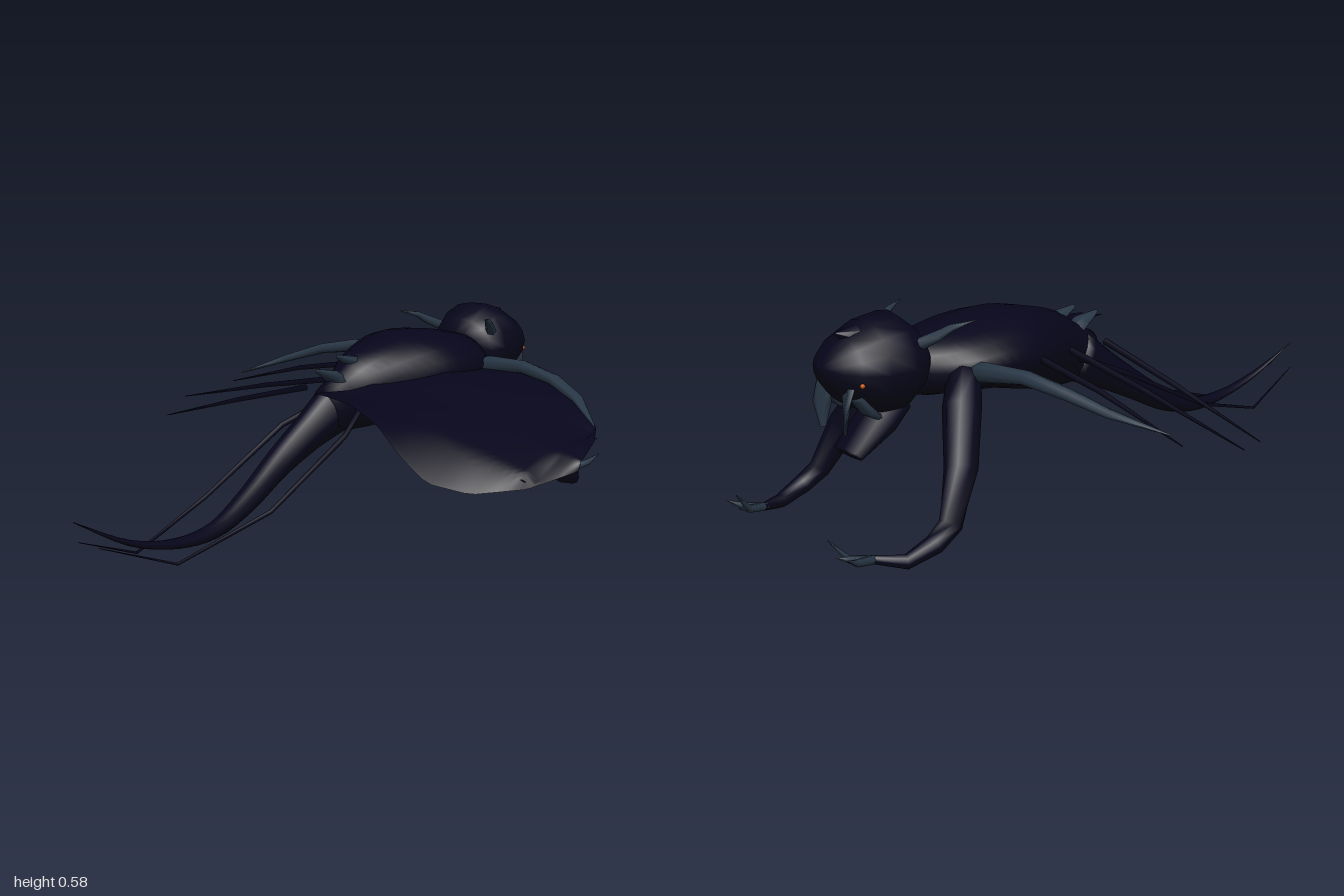
import * as THREE from 'three';

const V = (x, y, z) => new THREE.Vector3(x, y, z);

// Skin through elliptical rings [x, y, z, radiusSide, radiusUp] that follow a path
function loft(rings, sides) {
  const c = rings.map(r => V(r[0], r[1], r[2]));
  const pos = [], idx = [];
  rings.forEach((r, i) => {
    const t = c[Math.min(i + 1, c.length - 1)].clone().sub(c[Math.max(i - 1, 0)]).normalize();
    const side = t.clone().cross(V(0, 1, 0)).normalize();
    const up = side.clone().cross(t);
    for (let k = 0; k < sides; k++) {
      const a = k / sides * Math.PI * 2;
      const p = c[i].clone().addScaledVector(side, Math.cos(a) * r[3])
        .addScaledVector(up, Math.sin(a) * (r[4] ?? r[3]));
      pos.push(p.x, p.y, p.z);
    }
  });
  for (let i = 0; i < rings.length - 1; i++) {
    for (let k = 0; k < sides; k++) {
      const a = i * sides + k, b = i * sides + (k + 1) % sides;
      idx.push(a, a + sides, b, b, a + sides, b + sides);
    }
  }
  // End caps
  const first = pos.length / 3, lastRing = (rings.length - 1) * sides;
  pos.push(...c[0].toArray(), ...c[c.length - 1].toArray());
  for (let k = 0; k < sides; k++) {
    const n = (k + 1) % sides;
    idx.push(first, k, n, first + 1, lastRing + n, lastRing + k);
  }
  const g = new THREE.BufferGeometry();
  g.setAttribute('position', new THREE.Float32BufferAttribute(pos, 3));
  g.setIndex(idx);
  g.computeVertexNormals();
  return g;
}

// Smoothly resample rings for rounded parts
function refine(rings, n) {
  const a = new THREE.CatmullRomCurve3(rings.map(r => V(r[0], r[1], r[2])));
  const b = new THREE.CatmullRomCurve3(rings.map(r => V(r[3], r[4], 0)));
  return Array.from({ length: n + 1 }, (_, i) => {
    const p = a.getPoint(i / n), q = b.getPoint(i / n);
    return [p.x, p.y, p.z, Math.max(q.x, 0.001), Math.max(q.y, 0.001)];
  });
}

// Piecewise linear lookup in rows [key, value, ...]
function lookup(rows, x, col) {
  if (x <= rows[0][0]) return rows[0][col];
  for (let i = 1; i < rows.length; i++) {
    const p = rows[i - 1], q = rows[i];
    if (x <= q[0]) return THREE.MathUtils.lerp(p[col], q[col], (x - p[0]) / (q[0] - p[0]));
  }
  return rows[rows.length - 1][col];
}

// Wing fingers: z, then points [x, y]
const fingers = [
  [-0.27, [[0.16, 0.42], [0.40, 0.378], [0.70, 0.30]]],
  [-0.10, [[0.10, 0.40], [0.395, 0.345], [0.755, 0.265]]],
  [0.05, [[0.09, 0.395], [0.36, 0.326], [0.68, 0.235]]],
];

// Wing skin outline: [x, leading z, leading y, trailing z, trailing y]
const outline = [
  [0.08, -0.42, 0.41, 0.2, 0.42], [0.2, -0.475, 0.415, 0.2, 0.405], [0.3, -0.47, 0.42, 0.2, 0.36],
  [0.38, -0.455, 0.415, 0.2, 0.285], [0.47, -0.43, 0.395, 0.2, 0.225], [0.57, -0.385, 0.37, 0.14, 0.2],
  [0.685, -0.29, 0.33, 0.045, 0.215], [0.735, -0.2, 0.31, -0.04, 0.24], [0.755, -0.12, 0.285, -0.09, 0.25],
];

// Membrane draped over the fingers
function wingSkinGeometry() {
  const g = new THREE.PlaneGeometry(1, 1, 32, 32);
  const p = g.attributes.position;
  for (let i = 0; i < p.count; i++) {
    const x = 0.08 + 0.675 * Math.sin((p.getX(i) + 0.5) * Math.PI / 2);
    const [z0, y0, z1, y1] = [1, 2, 3, 4].map(col => lookup(outline, x, col));
    const z = THREE.MathUtils.lerp(z0, z1, 0.5 - p.getY(i));
    const ribs = fingers.filter(([fz]) => fz > z0 && fz < z1)
      .map(([fz, line]) => [fz, lookup(line, x, 1) + 0.012]);
    p.setXYZ(i, x, lookup([[z0, y0], ...ribs, [z1, y1]], z, 1), z);
  }
  g.computeVertexNormals();
  return g;
}

export function createModel() {
  const model = new THREE.Group();
  const mat = (name, color, extra = {}) => {
    const m = new THREE.MeshStandardMaterial({ color, ...extra });
    m.name = name;
    return m;
  };
  const hide = mat('dark navy hide', 0x06051a);
  const skin = mat('wing skin', 0x06051a, { side: THREE.DoubleSide });
  const slate = mat('slate horn', 0x283645);
  const ember = mat('ember orange', 0xc4500e);
  const add = (name, geometry, material) => {
    const m = new THREE.Mesh(geometry, material);
    m.name = name;
    model.add(m);
    return m;
  };

  // Torso, tapering to the hips
  add('torso', loft(refine([
    [0, 0.42, -0.60, 0.08, 0.07], [0, 0.42, -0.55, 0.13, 0.08], [0, 0.425, -0.48, 0.18, 0.09],
    [0, 0.43, -0.39, 0.197, 0.1], [0, 0.425, -0.29, 0.188, 0.113], [0, 0.405, -0.19, 0.152, 0.117],
    [0, 0.38, -0.10, 0.108, 0.115], [0, 0.36, -0.03, 0.07, 0.095], [0, 0.34, 0.06, 0.05, 0.07],
  ], 24), 20), hide);

  // Long swaying tail
  add('tail', loft(refine([
    [-0.005, 0.35, 0.0, 0.06, 0.08], [-0.02, 0.28, 0.12, 0.047, 0.055], [-0.027, 0.21, 0.24, 0.04, 0.042],
    [-0.012, 0.135, 0.38, 0.033, 0.034], [0.01, 0.085, 0.53, 0.026, 0.022], [0.022, 0.083, 0.68, 0.02, 0.014],
    [0.022, 0.12, 0.84, 0.013, 0.008], [0, 0.203, 1.0, 0.001, 0.001],
  ], 28), 12), hide);

  // Head, blunt and helmet-like, with a pointed crest
  add('head', loft([
    [0, 0.44, -0.57, 0.08, 0.06], [0, 0.445, -0.60, 0.115, 0.095], [0, 0.45, -0.65, 0.134, 0.135],
    [0, 0.45, -0.73, 0.132, 0.123], [0, 0.455, -0.80, 0.105, 0.085], [0, 0.46, -0.835, 0.07, 0.05],
    [0, 0.46, -0.855, 0.025, 0.018],
  ], 16), hide);
  add('crest', loft([[0, 0.53, -0.64, 0.07, 0.05], [0, 0.525, -0.74, 0.06, 0.04],
    [0, 0.548, -0.808, 0.004]], 8), hide);

  // Jaw, hanging forward below the head
  add('jaw', loft([
    [0, 0.35, -0.64, 0.07, 0.045], [0, 0.30, -0.69, 0.072, 0.045], [0, 0.225, -0.785, 0.065, 0.02],
  ], 8), hide);

  // Short spines along the hips
  [[-0.07, 0.48, 0.036], [0.02, 0.45, 0.04]].forEach(([z, y, w]) =>
    add('hipSpine', loft([[0, y - 0.05, z - 0.03, w, 0.03], [0, y - 0.01, z + 0.02, w * 0.85, 0.018],
      [0, y + 0.01, z + 0.08, 0.006]], 6), slate));

  // Glowing belly slit
  const slit = add('bellySlit', new THREE.SphereGeometry(1, 12, 6), ember);
  slit.scale.set(0.018, 0.009, 0.065);
  slit.position.set(0, 0.331, -0.425);

  add('wingSkin', wingSkinGeometry(), skin);

  // Paired parts
  for (const s of [1, -1]) {
    const limb = (name, rings, sides, material) =>
      add(name, loft(rings.map(([x, ...r]) => [x * s, ...r]), sides), material);

    // Wing arm and its three fingers
    limb('wingArm', [
      [0.13, 0.41, -0.48, 0.03], [0.2, 0.425, -0.48, 0.028], [0.33, 0.435, -0.46, 0.025, 0.02],
      [0.45, 0.415, -0.435, 0.023, 0.016], [0.56, 0.378, -0.39, 0.019, 0.012], [0.68, 0.328, -0.29, 0.002],
    ], 8, slate);
    fingers.forEach(([z, line]) => limb('wingFinger',
      line.map(([x, y], i) => [x, y, z, [0.01, 0.008, 0.0015][i]]), 6, hide));

    // Foreleg and forked claws
    limb('foreleg', [
      [0.13, 0.41, -0.50, 0.045], [0.18, 0.34, -0.55, 0.052], [0.26, 0.21, -0.62, 0.045],
      [0.295, 0.085, -0.685, 0.032], [0.30, 0.05, -0.74, 0.027], [0.29, 0.022, -0.82, 0.02],
      [0.245, 0.038, -0.90, 0.011],
    ], 8, hide);
    [[0.212, 0.105, -0.998], [0.282, 0.07, -0.99], [0.225, 0.06, -0.985]].forEach(([x, y, z]) => limb('claw', [
      [0.25, 0.036, -0.89, 0.012], [(x + 0.25) / 2, 0.048, -0.95, 0.01], [x, y, z, 0.001],
    ], 6, slate));

    // Thin trailing hind legs
    limb('hindLeg', [
      [0.06, 0.36, -0.04, 0.011], [0.12, 0.29, 0.12, 0.008], [0.124, 0.135, 0.43, 0.006],
      [0.078, 0.05, 0.73, 0.004], [0.04, 0.135, 0.955, 0.001],
    ], 6, hide);

    // Swept horns
    limb('horn', [
      [0.09, 0.50, -0.63, 0.018], [0.12, 0.525, -0.58, 0.015], [0.138, 0.545, -0.545, 0.01],
      [0.165, 0.56, -0.485, 0.001],
    ], 6, slate);

    // Broad tusks, cheek plates and eyes
    limb('tusk', [[0.055, 0.42, -0.815, 0.03, 0.01], [0.055, 0.36, -0.822, 0.028, 0.008],
      [0.05, 0.295, -0.825, 0.008, 0.004]], 6, slate);
    limb('cheekPlate', [[0.07, 0.39, -0.80, 0.025, 0.012], [0.068, 0.35, -0.765, 0.028, 0.014],
      [0.065, 0.33, -0.735, 0.02, 0.01]], 6, slate);
    const eye = add('eye', new THREE.SphereGeometry(0.007, 8, 6), ember);
    eye.position.set(0.099 * s, 0.43, -0.80);
  }
  return model;
}
